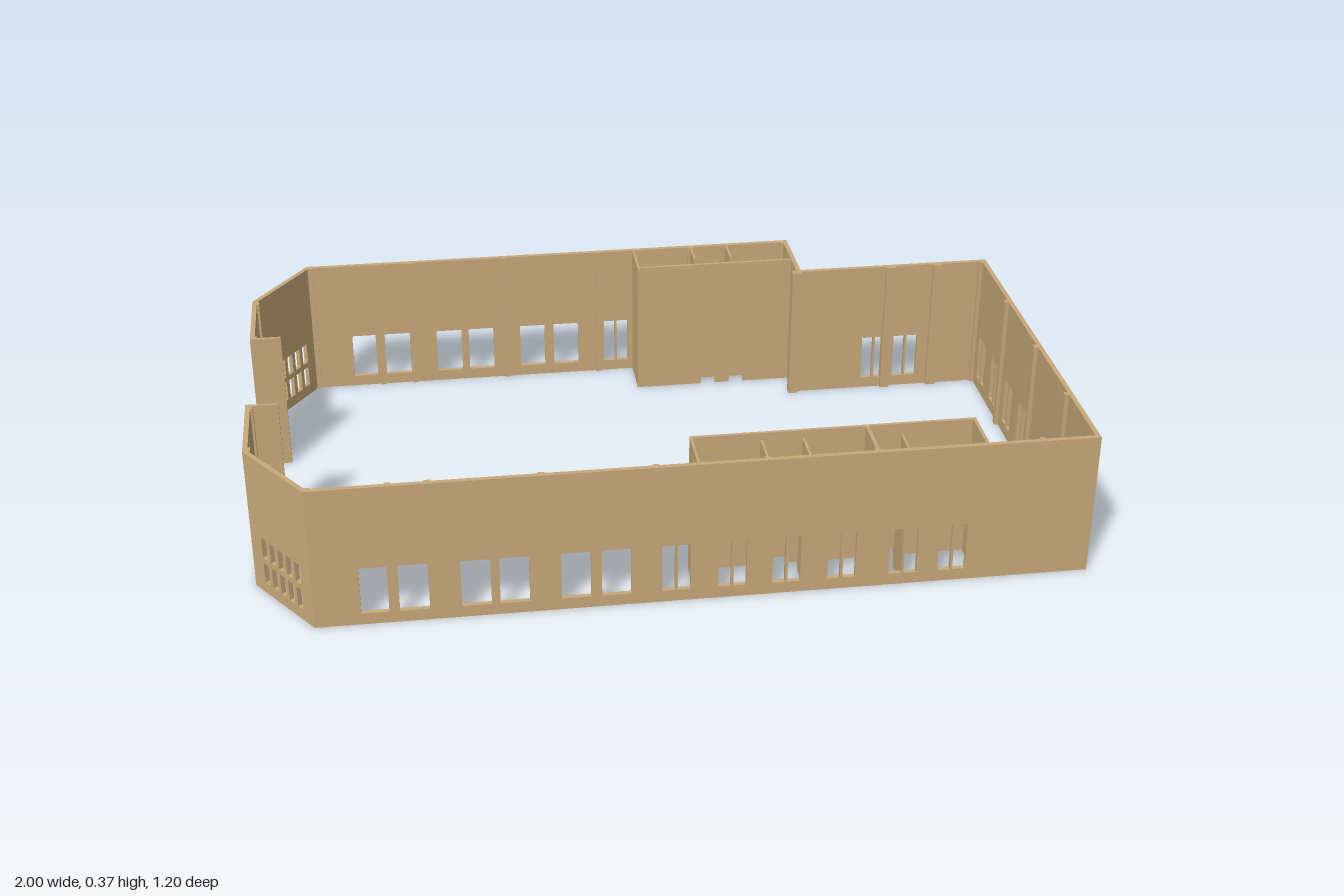
import * as THREE from 'three';

const H = 0.37, T = 0.012;          // wall height and thickness
const SILL = 0.03, HEAD = 0.155;    // window bottom and top

export function createModel() {
  const model = new THREE.Group();
  model.name = 'building';
  const material = new THREE.MeshStandardMaterial({ color: 0xc8a97a });

  const add = (name, geometry, parent = model) => {
    const mesh = new THREE.Mesh(geometry, material);
    mesh.name = name;
    parent.add(mesh);
    return mesh;
  };

  // Box given by its plan limits, standing on the ground
  const block = (name, x0, x1, z0, z1, h = H) => {
    const g = new THREE.BoxGeometry(x1 - x0, h, z1 - z0);
    add(name, g.translate((x0 + x1) / 2, h / 2, (z0 + z1) / 2));
  };

  // Wall from a to b; outer face lies on the line, thickness goes inward.
  // windows: [s0, s1, y0, y1] along the wall; notches: [s0, s1] at the floor, in order
  const wall = (name, [ax, az], [bx, bz], windows = [], notches = [], t = T) => {
    const length = Math.hypot(bx - ax, bz - az);
    const shape = new THREE.Shape();
    shape.moveTo(0, 0);
    for (const [s0, s1] of notches) {
      shape.lineTo(s0, 0);
      shape.lineTo(s0, 0.018);
      shape.lineTo(s1, 0.018);
      shape.lineTo(s1, 0);
    }
    shape.lineTo(length, 0);
    shape.lineTo(length, H);
    shape.lineTo(0, H);
    shape.closePath();
    for (const [s0, s1, y0 = SILL, y1 = HEAD] of windows) {
      const p = [[s0, y0], [s0, y1], [s1, y1], [s1, y0]];
      shape.holes.push(new THREE.Path(p.map(([x, y]) => new THREE.Vector2(x, y))));
    }
    const g = new THREE.ExtrudeGeometry(shape, { depth: t, bevelEnabled: false });
    g.translate(0, 0, -t);
    const mesh = add(name, g);
    mesh.position.set(ax, 0, az);
    mesh.rotation.y = Math.atan2(az - bz, bx - ax);
  };

  // Convert world coordinates along a wall to distances from its start
  const from = (start, list) => list.map(([a, b, ...y]) => {
    const s = [Math.abs(a - start), Math.abs(b - start)].sort((p, q) => p - q);
    return [...s, ...y];
  });
  // Two tall narrow lights with a thin mullion, centred on c
  const pair = (c) => [[c - 0.034, c - 0.003], [c + 0.003, c + 0.034]];
  // Two rows of small panes
  const panes = (start, count, pitch, width) => {
    const out = [];
    for (let i = 0; i < count; i++) {
      const s = start + i * pitch;
      out.push([s, s + width, SILL, 0.085], [s, s + width, 0.1, HEAD]);
    }
    return out;
  };

  // Openings of the long walls
  const wide = [[-0.75, -0.685], [-0.66, -0.59], [-0.515, -0.445],
    [-0.425, -0.355], [-0.28, -0.21], [-0.185, -0.115]];
  const shared = [...wide, ...[-0.008, 0.126, 0.256, 0.39].flatMap(pair)];
  const frontWindows = [...shared, ...[0.54, 0.66].flatMap(pair)];
  const sideWindows = [...[0.265, 0.063, -0.065, -0.193, -0.32].flatMap(pair),
    ...panes(0.33, 4, 0.0325, 0.018)];
  const cornerPanes = panes(0.045, 5, 0.034, 0.022);

  // Outer walls
  wall('frontWall', [-0.86, 0.6], [1, 0.6], from(-0.86, frontWindows));
  wall('leftWall', [1, 0.6], [1, -0.4], from(0.6, sideWindows));
  wall('recessedBackWall', [1, -0.4], [0.48, -0.4],
    from(1, [...pair(0.785), ...pair(0.695)]));
  wall('recessSideWall', [0.48, -0.4], [0.48, -0.6],
    from(-0.4, pair(-0.528)), from(-0.4, [[-0.41, -0.455]]));
  wall('backWall', [0.48, -0.6], [-0.86, -0.6], from(0.48, shared));
  wall('frontCornerWall', [-1, 0.4], [-0.86, 0.6], cornerPanes);
  wall('backCornerWall', [-0.86, -0.6], [-1, -0.4], cornerPanes);
  wall('entranceFrontWall', [-1, 0.18], [-1, 0.4]);
  wall('entranceBackWall', [-1, -0.4], [-1, -0.18]);
  for (const z of [-0.18, 0.176]) {
    block('entranceReturn', -1, -0.922, z - 0.004, z + 0.004);
  }

  // Inner rooms along the front and back walls
  const thin = 0.008;
  wall('frontRoomWall', [0.73, 0.466], [0.04, 0.466], [],
    from(0.73, [[0.55, 0.51], [0.29, 0.25]]), thin);
  wall('backRoomWall', [0.04, -0.47], [0.48, -0.47], [],
    from(0.04, [[0.22, 0.26], [0.3, 0.34]]), thin);
  block('frontRoomEnd', 0.04, 0.046, 0.466, 0.59);
  block('frontRoomEnd', 0.724, 0.732, 0.466, 0.59);
  block('backRoomEnd', 0.04, 0.046, -0.59, -0.47);
  block('frontRoomDivider', 0.462, 0.47, 0.466, 0.59);
  for (const x of [0.205, 0.305]) {
    block('frontRoomDivider', x - 0.003, x + 0.003, 0.508, 0.59);
    block('backRoomDivider', x - 0.003, x + 0.003, -0.59, -0.513);
  }
  block('frontRoomDivider', 0.536, 0.541, 0.525, 0.59);
  block('lowCurb', 0.47, 0.505, 0.525, 0.53, 0.015);
  block('lowCurb', 0.93, 0.99, 0.316, 0.322, 0.015);

  // Pilasters on the inside of the walls
  const p = 0.008;
  for (const x of [-0.852, -0.67, -0.58, -0.32, -0.057, 0.205, 0.465]) {
    block('frontPilaster', x - p, x + p, 0.583, 0.595);
    block('backPilaster', x - p, x + p, -0.595, -0.583);
  }
  block('frontPilaster', 0.855, 0.867, 0.58, 0.595);
  for (const z of [-0.388, -0.135, 0.125, 0.38]) {
    block('leftPilaster', 0.978, 0.995, z - p, z + p);
  }
  for (const x of [0.468, 0.73, 0.862]) {
    block('recessPilaster', x - 0.013, x + 0.013, -0.4, -0.378);
  }
  for (const s of [-1, 1]) {
    for (const z of [0.388, 0.186]) {
      block('entrancePilaster', -0.998, -0.982, s * z - p, s * z + p);
    }
  }
  return model;
}
